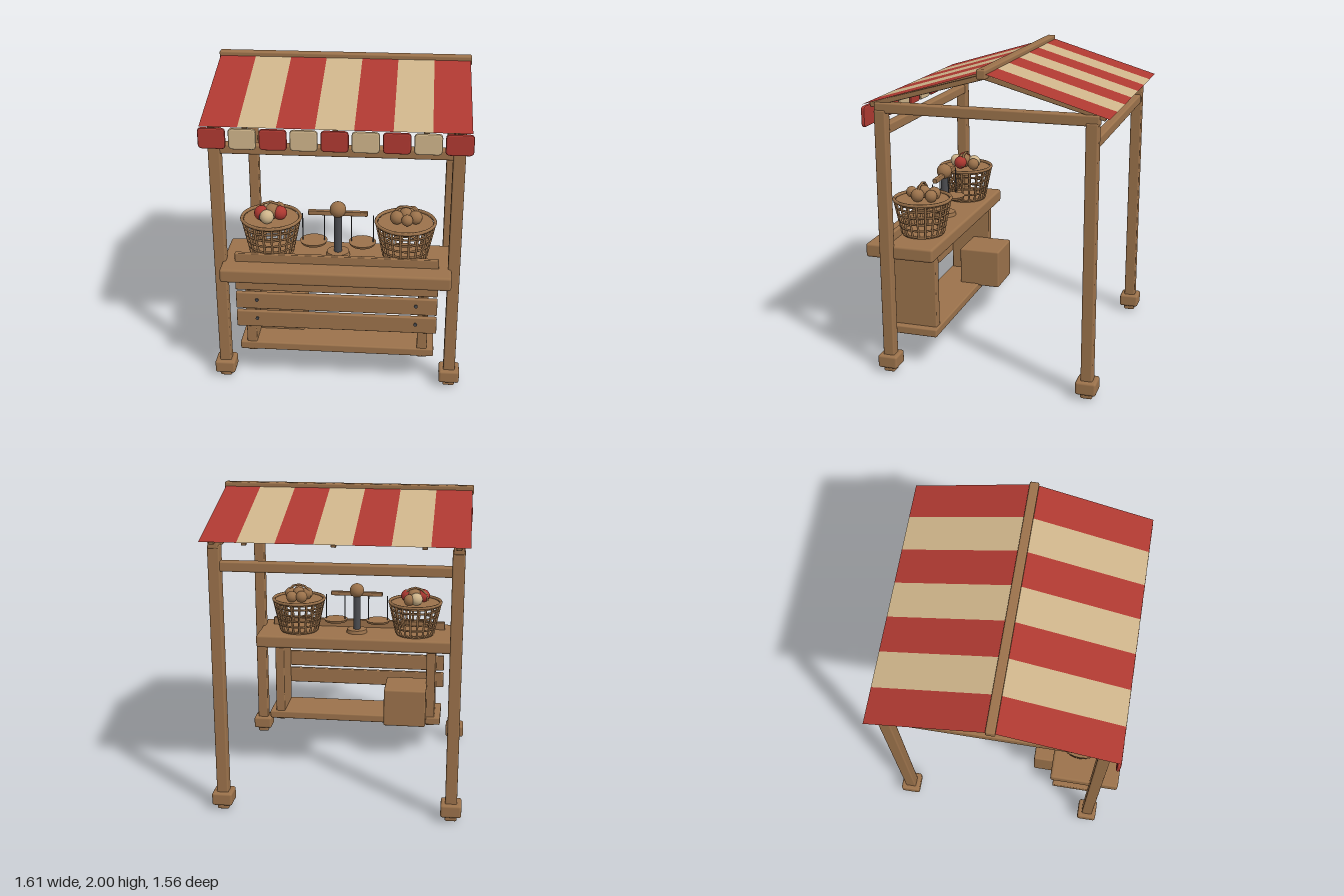
import * as THREE from 'three';
import { RoundedBoxGeometry } from 'three/addons/geometries/RoundedBoxGeometry.js';

const material = (name, color, extra = {}) => {
  const m = new THREE.MeshStandardMaterial({ color, ...extra });
  m.name = name;
  return m;
};

export function createModel() {
  const model = new THREE.Group();
  model.name = 'marketStall';
  const wood = material('wood', 0x9b724b);
  const red = material('red', 0xae3931, { side: THREE.DoubleSide });
  const cream = material('cream', 0xceb48a, { side: THREE.DoubleSide });
  const iron = material('iron', 0x4b4c50);

  const add = (name, geometry, mat, x = 0, y = 0, z = 0, parent = model) => {
    const mesh = new THREE.Mesh(geometry, mat);
    mesh.name = name;
    mesh.position.set(x, y, z);
    parent.add(mesh);
    return mesh;
  };
  // Bevelled block given by its lower and upper limits on each axis
  const block = (name, [x0, x1], [y0, y1], [z0, z1], mat = wood, bevel = 0.01) =>
    add(name, new RoundedBoxGeometry(x1 - x0, y1 - y0, z1 - z0, 2, bevel), mat,
      (x0 + x1) / 2, (y0 + y1) / 2, (z0 + z1) / 2);
  // Round bar between two points
  const rod = (name, a, b, r, mat, parent = model, sides = 6) => {
    const d = b.clone().sub(a);
    const m = add(name, new THREE.CylinderGeometry(r, r, d.length(), sides), mat, 0, 0, 0, parent);
    m.position.copy(a).add(b).multiplyScalar(0.5);
    m.quaternion.setFromUnitVectors(new THREE.Vector3(0, 1, 0), d.normalize());
    return m;
  };
  const V = (x, y, z) => new THREE.Vector3(x, y, z);

  // Corner posts with feet
  const postX = 0.725, frontZ = 0.63, backZ = -0.67, ridgeZ = -0.025;
  for (const z of [frontZ, backZ]) {
    for (const x of [-postX, postX]) {
      block('post', [x - 0.037, x + 0.037], [0, 1.72], [z - 0.037, z + 0.037]);
      block('foot', [x - 0.065, x + 0.065], [0.035, 0.12], [z - 0.065, z + 0.065], wood, 0.015);
    }
    block('crossBeam', [-0.7, 0.7], [1.56, 1.622], [z - 0.03, z + 0.03]);
  }
  for (const x of [-postX, postX])
    block('sideBeam', [x - 0.032, x + 0.032], [1.7, 1.765], [-0.712, 0.667]);

  // Ridge beam and rafters
  block('ridgeBeam', [-0.8, 0.8], [1.942, 2], [ridgeZ - 0.029, ridgeZ + 0.029]);
  for (const x of [-0.725, -0.53, 0, 0.53, 0.725]) {
    for (const s of [-1, 1]) {
      const dz = 0.722, dy = 0.203;
      const rafter = add('rafter', new RoundedBoxGeometry(0.032, 0.032, Math.hypot(dz, dy), 1, 0.005),
        wood, x, 1.949 - dy / 2, ridgeZ + s * dz / 2);
      rafter.rotation.x = s * Math.atan2(dy, dz);
    }
  }

  // Striped canvas, one thin sheet per stripe and slope
  const stripe = 1.584 / 7, run = 0.753, drop = 0.226;
  for (let i = 0; i < 7; i++) {
    for (const s of [-1, 1]) {
      const sheet = add('canvasStripe', new THREE.PlaneGeometry(stripe, Math.hypot(run, drop)),
        i % 2 ? cream : red, (i - 3) * stripe, 1.981 - drop / 2, ridgeZ + s * run / 2);
      sheet.rotation.order = 'YXZ';
      sheet.rotation.set(-Math.PI / 2 + Math.atan2(drop, run), s > 0 ? 0 : Math.PI, 0);
    }
  }

  // Hanging front flaps
  const flap = new THREE.Shape();
  const w = 0.072, h = 0.055, c = 0.016;
  flap.moveTo(-w + c, -h).lineTo(w - c, -h).quadraticCurveTo(w, -h, w, -h + c);
  flap.lineTo(w, h - c).quadraticCurveTo(w, h, w - c, h).lineTo(-w + c, h);
  flap.quadraticCurveTo(-w, h, -w, h - c).lineTo(-w, -h + c).quadraticCurveTo(-w, -h, -w + c, -h);
  const flapGeometry = new THREE.ExtrudeGeometry(flap, {
    depth: 0.006, bevelThickness: 0.009, bevelSize: 0.01, bevelSegments: 2, curveSegments: 4,
  }).translate(0, 0, -0.003);
  for (let i = 0; i < 9; i++)
    add('flap', flapGeometry, i % 2 ? cream : red, (i - 4) * 0.1805, 1.681, 0.718);

  // Counter: top, end panels, shelf and front planks
  block('counterTop', [-0.71, 0.71], [0.755, 0.845], [0.333, 0.783], wood, 0.016);
  for (const x of [-0.545, 0.545])
    block('endPanel', [x - 0.032, x + 0.032], [0.2, 0.77], [0.368, 0.655], wood, 0.008);
  block('lowerShelf', [-0.62, 0.62], [0.21, 0.265], [0.353, 0.664]);
  block('frontLip', [-0.633, 0.633], [0.8, 0.9], [0.632, 0.662], wood, 0.006);
  for (const y of [0.447, 0.578, 0.71]) {
    block('frontPlank', [-0.633, 0.633], [y - 0.056, y + 0.056], [0.652, 0.682], wood, 0.007);
    for (const x of [-0.5, 0.5]) {
      const nail = add('nail', new THREE.CylinderGeometry(0.011, 0.011, 0.014, 10), iron, x, y + 0.009, 0.683);
      nail.rotation.x = Math.PI / 2;
    }
  }
  block('storageBox', [-0.52, -0.225], [0.25, 0.52], [0.2, 0.49], wood, 0.012);

  // Balance scale
  const scale = new THREE.Group();
  scale.name = 'balanceScale';
  scale.position.set(0, 0, 0.512);
  model.add(scale);
  add('scaleColumn', new THREE.CylinderGeometry(0.025, 0.025, 0.3, 16), iron, 0, 0.99, 0, scale);
  add('scaleFoot', new THREE.CylinderGeometry(0.07, 0.075, 0.025, 20), wood, 0, 0.857, 0, scale);
  add('scaleBall', new THREE.SphereGeometry(0.051, 18, 12), wood, 0, 1.155, 0, scale);
  add('scaleArm', new RoundedBoxGeometry(0.37, 0.03, 0.03, 1, 0.005), wood, 0, 1.131, 0, scale);
  for (const s of [-1, 1]) {
    const x = s * 0.153;
    add('scalePan', new THREE.CylinderGeometry(0.086, 0.078, 0.017, 24), wood, x, 0.932, 0, scale);
    for (const d of [-0.068, 0.068])
      rod('panWire', V(x + d, 0.935, 0), V(x + d, 1.12, 0), 0.004, iron, scale);
  }

  // Wicker baskets with produce: [colour, x, y, z, radius]
  const baskets = [
    [-0.42, [[red, -0.055, 1.125, 0.03, 0.046], [cream, -0.015, 1.12, 0.075, 0.044],
      [wood, 0.01, 1.13, 0.01, 0.05], [red, 0.06, 1.125, 0.02, 0.044],
      [iron, -0.03, 1.115, 0.055, 0.04], [cream, -0.01, 1.12, -0.06, 0.045], [wood, 0.04, 1.115, -0.07, 0.04]]],
    [0.42, [[wood, -0.055, 1.12, 0.02, 0.043], [wood, 0.01, 1.125, 0.07, 0.036],
      [wood, 0.06, 1.12, 0.01, 0.043], [wood, 0, 1.13, -0.01, 0.042],
      [wood, -0.03, 1.115, -0.07, 0.042], [wood, 0.04, 1.115, -0.075, 0.04]]],
  ];
  const y0 = 0.862, y1 = 1.085, r0 = 0.135, r1 = 0.183, ribs = 20;
  const ring = (name, r, tube, y, parent) => {
    const m = add(name, new THREE.TorusGeometry(r, tube, 6, 32), wood, 0, y, 0, parent);
    m.rotation.x = Math.PI / 2;
  };
  for (const [x, produce] of baskets) {
    const basket = new THREE.Group();
    basket.name = 'basket';
    basket.position.set(x, 0, 0.505);
    model.add(basket);
    add('basketBase', new THREE.CylinderGeometry(r0, r0, 0.016, 28), wood, 0, y0 - 0.004, 0, basket);
    add('basketFill', new THREE.CylinderGeometry(0.172, 0.168, 0.02, 28), wood, 0, 1.07, 0, basket);
    for (let i = 0; i < ribs; i++) {
      const a = (i + 0.5) / ribs * Math.PI * 2;
      rod('basketRib', V(Math.cos(a) * r0, y0, Math.sin(a) * r0),
        V(Math.cos(a) * r1, y1, Math.sin(a) * r1), 0.008, wood, basket);
    }
    for (let i = 0; i < 5; i++) {
      const t = i / 5;
      ring('basketWeave', r0 + (r1 - r0) * t, 0.007, y0 + (y1 - y0) * t, basket);
    }
    ring('basketRim', r1, 0.011, y1, basket);
    add('basketHandle', new THREE.TorusGeometry(0.088, 0.008, 6, 6, Math.PI), wood, 0, 1.1, 0, basket);
    for (const [mat, px, py, pz, r] of produce)
      add('produce', new THREE.SphereGeometry(r, 16, 12), mat, px, py, pz, basket);
  }
  return model;
}
